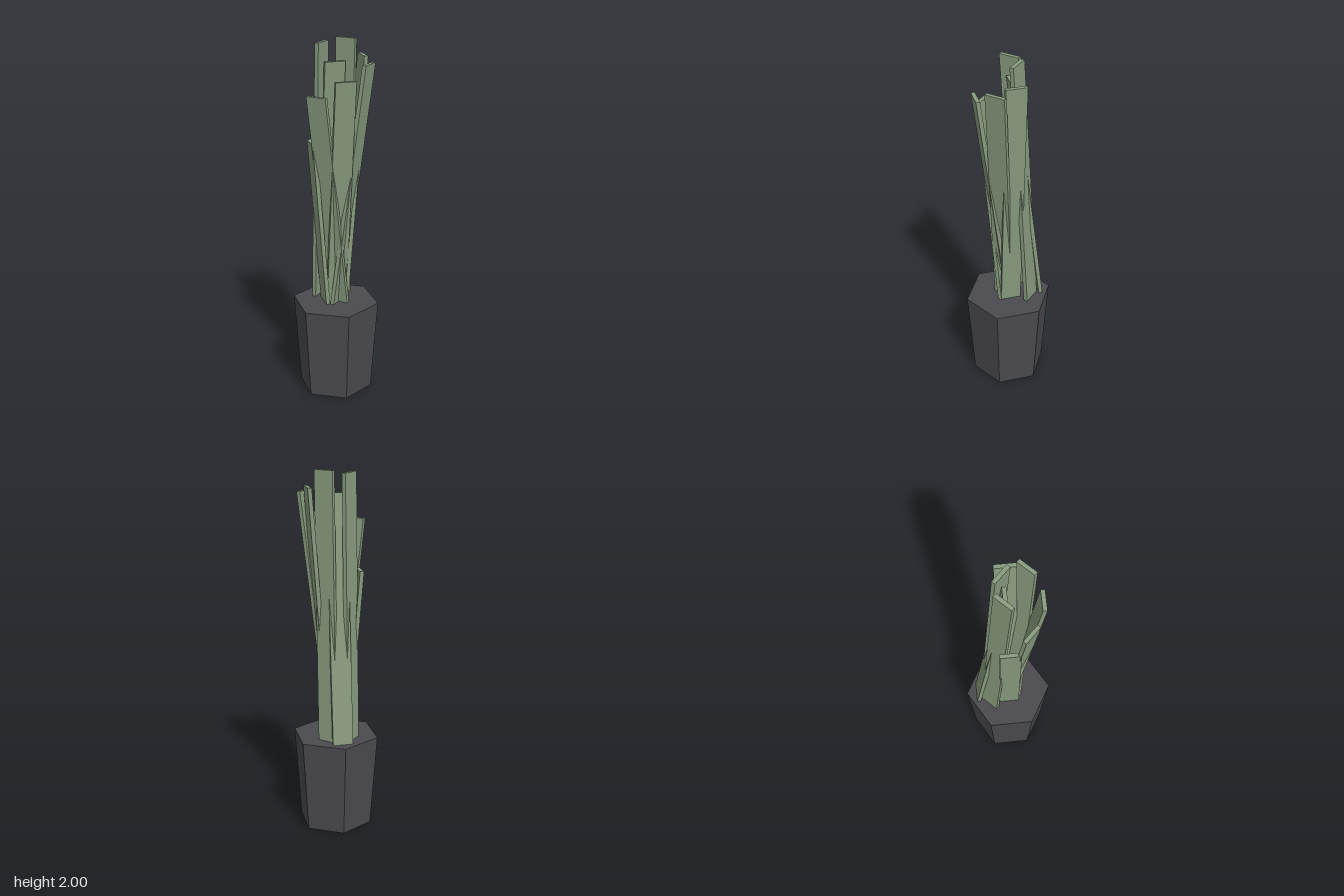
import * as THREE from 'three';

const SOIL = 0.525;

// Flat blade: a thin box turned about y, sheared from its base point to its tip point
function blade(name, material, turn, base, tip, height) {
  const bottom = SOIL + 0.003;
  const geo = new THREE.BoxGeometry(0.112, height - bottom, 0.022);
  geo.rotateY(turn);
  geo.translate(0, (height + bottom) / 2, 0);
  const p = geo.attributes.position;
  for (let i = 0; i < p.count; i++) {
    const end = p.getY(i) > 1 ? tip : base;
    p.setX(i, p.getX(i) + end[0]);
    p.setZ(i, p.getZ(i) + end[1]);
  }
  geo.computeVertexNormals();
  const mesh = new THREE.Mesh(geo, material);
  mesh.name = name;
  return mesh;
}

export function createModel() {
  const model = new THREE.Group();
  model.name = 'pottedPlant';

  const potGrey = new THREE.MeshStandardMaterial({ color: 0x4b4a4f, flatShading: true });
  potGrey.name = 'potGrey';
  const leafGreen = new THREE.MeshStandardMaterial({ color: 0x899c7f, flatShading: true });
  leafGreen.name = 'leafGreen';

  // Six-sided tapered pot
  const pot = new THREE.Mesh(new THREE.CylinderGeometry(0.244, 0.207, SOIL, 6), potGrey);
  pot.name = 'pot';
  pot.position.y = SOIL / 2;
  model.add(pot);

  // Eight blades: name, turn, base [x, z], tip [x, z], height
  const q = Math.PI / 4;
  const blades = [
    ['frontLeaf', 0, [0, 0.012], [0, 0.171], 1.81],
    ['frontLeftLeaf', q, [-0.002, 0.025], [0.147, 0.105], 1.88],
    ['leftLeaf', 2 * q, [0.045, 0], [0.149, 0], 1.912],
    ['backLeftLeaf', -q, [0.066, -0.112], [0.066, -0.026], 2],
    ['backLeaf', 0, [0, -0.177], [0, -0.014], 1.88],
    ['backRightLeaf', q, [-0.067, -0.112], [-0.067, -0.026], 1.985],
    ['rightLeaf', 2 * q, [-0.06, 0], [-0.133, 0], 1.46],
    ['frontRightLeaf', -q, [0.013, 0.025], [-0.134, 0.102], 1.725],
  ];
  const leaves = new THREE.Group();
  leaves.name = 'leaves';
  for (const [name, turn, base, tip, height] of blades) {
    leaves.add(blade(name, leafGreen, turn, base, tip, height));
  }
  model.add(leaves);

  return model;
}
